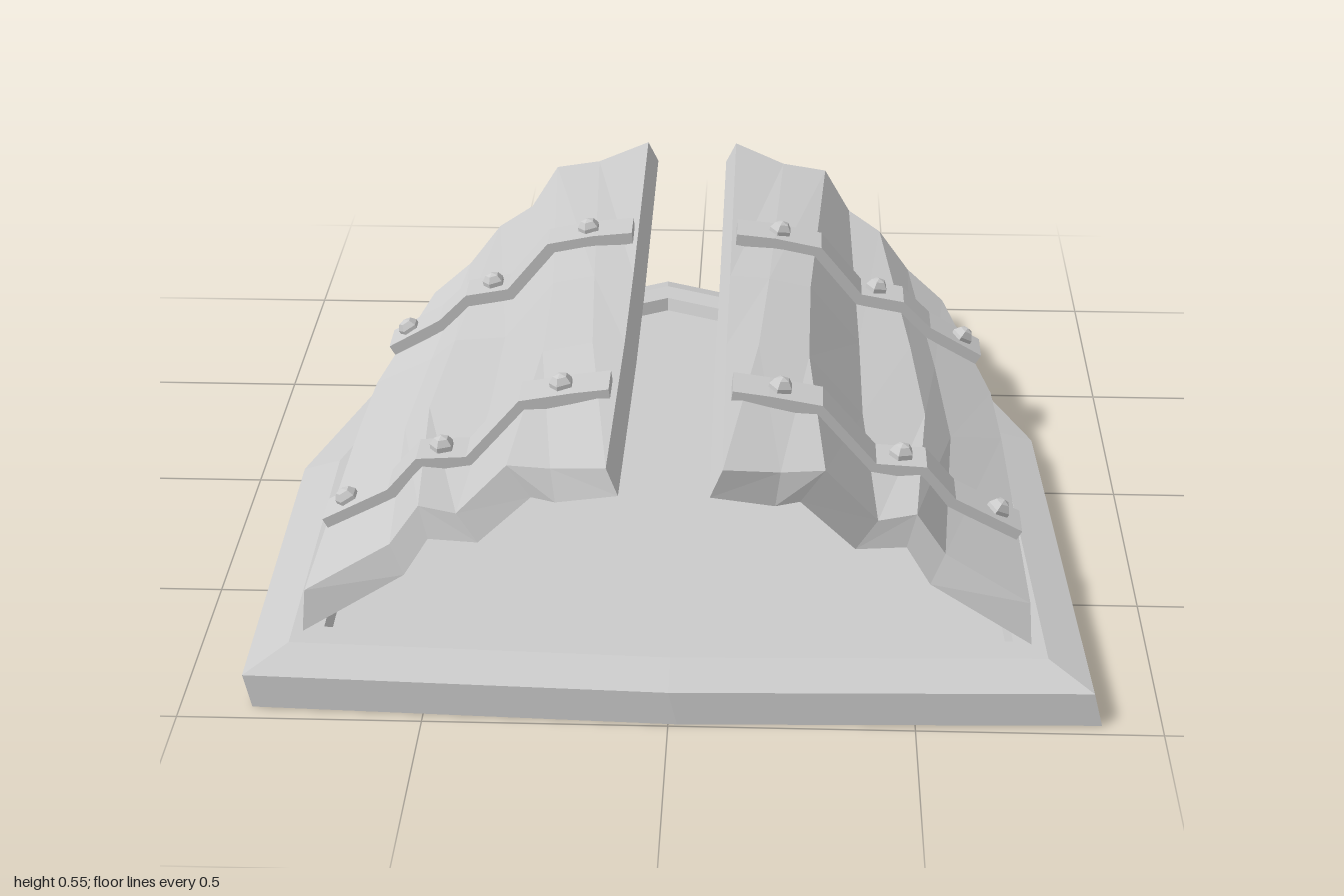
import * as THREE from 'three';

const material = new THREE.MeshStandardMaterial({ color: 0xcccccc, flatShading: true });

// Closed, flat-faced solid through rings of equal, even point count; ends capped by strips.
function loft(rings) {
  const n = rings[0].length, last = rings.length - 1, tris = [];
  const quad = (a, b, c, d) => tris.push([a, b, c], [a, c, d]);
  for (let r = 0; r < last; r++)
    for (let i = 0; i < n; i++) {
      const j = (i + 1) % n;
      quad(rings[r][i], rings[r][j], rings[r + 1][j], rings[r + 1][i]);
    }
  for (let i = 0; i < n / 2 - 1; i++) {
    const cap = [i, i + 1, n - 2 - i, n - 1 - i];
    quad(...cap.map(k => rings[last][k]));
    quad(...cap.map(k => rings[0][k]).reverse());
  }
  // Turn the faces outward if the solid came out inverted
  const volume = tris.reduce((s, [a, b, c]) => s + a.dot(b.clone().cross(c)), 0);
  if (volume < 0) tris.forEach(t => t.reverse());
  const geo = new THREE.BufferGeometry().setFromPoints(tris.flat());
  geo.computeVertexNormals();
  return geo;
}

function mesh(name, geo, parent) {
  const m = new THREE.Mesh(geo, material);
  m.name = name;
  parent.add(m);
  return m;
}

// Base slab outline [x, z], clockwise from the rear point as seen from above
const OUTLINE = [[-0.08, -1], [0.60, -0.69], [0.815, -0.13], [0.86, 0.96],
  [0, 0.985], [-0.87, 0.95], [-0.88, 0.07], [-0.675, -0.67]];

// Outline moved inward by d with mitred corners, at height y
function insetRing(d, y, dx = 0, dz = 0) {
  const p = OUTLINE.map(q => new THREE.Vector2(...q)), n = p.length;
  return p.map((q, i) => {
    const normal = (a, b) => { const e = b.clone().sub(a).normalize(); return new THREE.Vector2(-e.y, e.x); };
    const n1 = normal(p[(i + n - 1) % n], q), n2 = normal(q, p[(i + 1) % n]);
    const m = n1.clone().add(n2).multiplyScalar(d / (1 + n1.dot(n2)));
    return new THREE.Vector3(q.x + m.x + dx, y, q.y + m.y + dz);
  });
}

// Plate: upper surface [x, y, z] from inner to outer edge, at stations front to back
const STATIONS = [
  [[0.105, 0.52, 0.87], [0.22, 0.49, 0.82], [0.31, 0.485, 0.80], [0.42, 0.355, 0.77],
    [0.50, 0.36, 0.75], [0.56, 0.28, 0.77], [0.735, 0.19, 0.81]],
  [[0.10, 0.505, 0.27], [0.17, 0.505, 0.27], [0.28, 0.48, 0.27], [0.40, 0.34, 0.27],
    [0.54, 0.315, 0.22], [0.60, 0.25, 0.2], [0.725, 0.18, 0.07]],
  [[0.10, 0.50, -0.1], [0.19, 0.495, -0.1], [0.285, 0.475, -0.1], [0.40, 0.335, -0.1],
    [0.52, 0.315, -0.12], [0.58, 0.255, -0.14], [0.715, 0.18, -0.16]],
  [[0.10, 0.53, -0.84], [0.22, 0.505, -0.77], [0.325, 0.49, -0.765], [0.385, 0.41, -0.70],
    [0.46, 0.385, -0.63], [0.53, 0.31, -0.57], [0.615, 0.255, -0.51]],
];
// Offset from upper to lower surface for each lengthwise line
const UNDER = [[-0.025, -0.05], [-0.01, -0.065], [-0.05, -0.06], [-0.045, -0.055],
  [-0.02, -0.065], [-0.03, -0.06], [0.005, -0.085]];

// Upper surface polyline [x, y] across the plate at depth z
function sectionAt(z) {
  return STATIONS[0].map((_, i) => {
    let s = 0;
    while (s < STATIONS.length - 2 && z < STATIONS[s + 1][i][2]) s++;
    const a = STATIONS[s][i], b = STATIONS[s + 1][i];
    const t = (z - a[2]) / (b[2] - a[2]);
    return new THREE.Vector2(a[0] + (b[0] - a[0]) * t, a[1] + (b[1] - a[1]) * t);
  });
}

// Point and slope angle on a section at a given x
function pointOn(section, x) {
  let i = 0;
  while (i < section.length - 2 && x > section[i + 1].x) i++;
  const a = section[i], b = section[i + 1];
  const p = a.clone().lerp(b, (x - a.x) / (b.x - a.x));
  return { p, angle: Math.atan2(b.y - a.y, b.x - a.x) };
}

function buildSide(name, side) {
  const group = new THREE.Group();
  group.name = name;
  // The two plates sit slightly off the centre line
  const at = (x, y, z) => new THREE.Vector3(side > 0 ? x : -x - 0.022, y, z);

  // Bent armour plate, its lower edges reaching past the upper ones at the front
  mesh('plate', loft(STATIONS.map((row, s) => {
    const ext = s === 0 ? 0.022 : 0;
    const top = row.map(p => at(...p));
    const bottom = row.map((p, i) => at(p[0] + UNDER[i][0], p[1] + UNDER[i][1], p[2] + ext));
    return [...top, ...bottom.reverse()];
  })), group);

  // Straps following the bends, each with three rivets
  const straps = [
    { name: 'frontStrap', z: 0.505, from: 0.115, to: 0.725, rivets: [0.215, 0.475, 0.675] },
    { name: 'rearStrap', z: -0.31, from: 0.11, to: 0.685, rivets: [0.21, 0.44, 0.64] },
  ];
  for (const strap of straps) {
    const section = sectionAt(strap.z);
    const path = [pointOn(section, strap.from).p,
      ...section.filter(p => p.x > strap.from + 0.02 && p.x < strap.to - 0.02),
      pointOn(section, strap.to).p];
    mesh(strap.name, loft(path.map((p, i) => {
      const a = path[Math.max(i - 1, 0)], b = path[Math.min(i + 1, path.length - 1)];
      const t = b.clone().sub(a).normalize();
      const corner = (h, dz) => at(p.x - t.y * h, p.y + t.x * h, strap.z + dz);
      return [corner(0.024, -0.045), corner(0.024, 0.045), corner(-0.012, 0.045), corner(-0.012, -0.045)];
    })), group);

    for (const x of strap.rivets) {
      const { p, angle } = pointOn(section, x);
      const rivet = mesh('rivet', new THREE.SphereGeometry(0.028, 5, 3, 0, Math.PI * 2, 0, Math.PI * 0.6), group);
      rivet.position.copy(at(p.x - Math.sin(angle) * 0.024, p.y + Math.cos(angle) * 0.024, strap.z));
      rivet.rotation.z = angle * side;
    }
  }
  return group;
}

export function createModel() {
  const model = new THREE.Group();
  model.name = 'platedBase';

  // Slab with bevelled rim and shallow recess
  mesh('base', loft([
    insetRing(0, 0, 0.018, 0.008),
    insetRing(0, 0.07),
    insetRing(0.085, 0.1),
    insetRing(0.15, 0.1),
    insetRing(0.16, 0.07),
  ]), model);

  model.add(buildSide('leftPlate', 1), buildSide('rightPlate', -1));
  return model;
}
